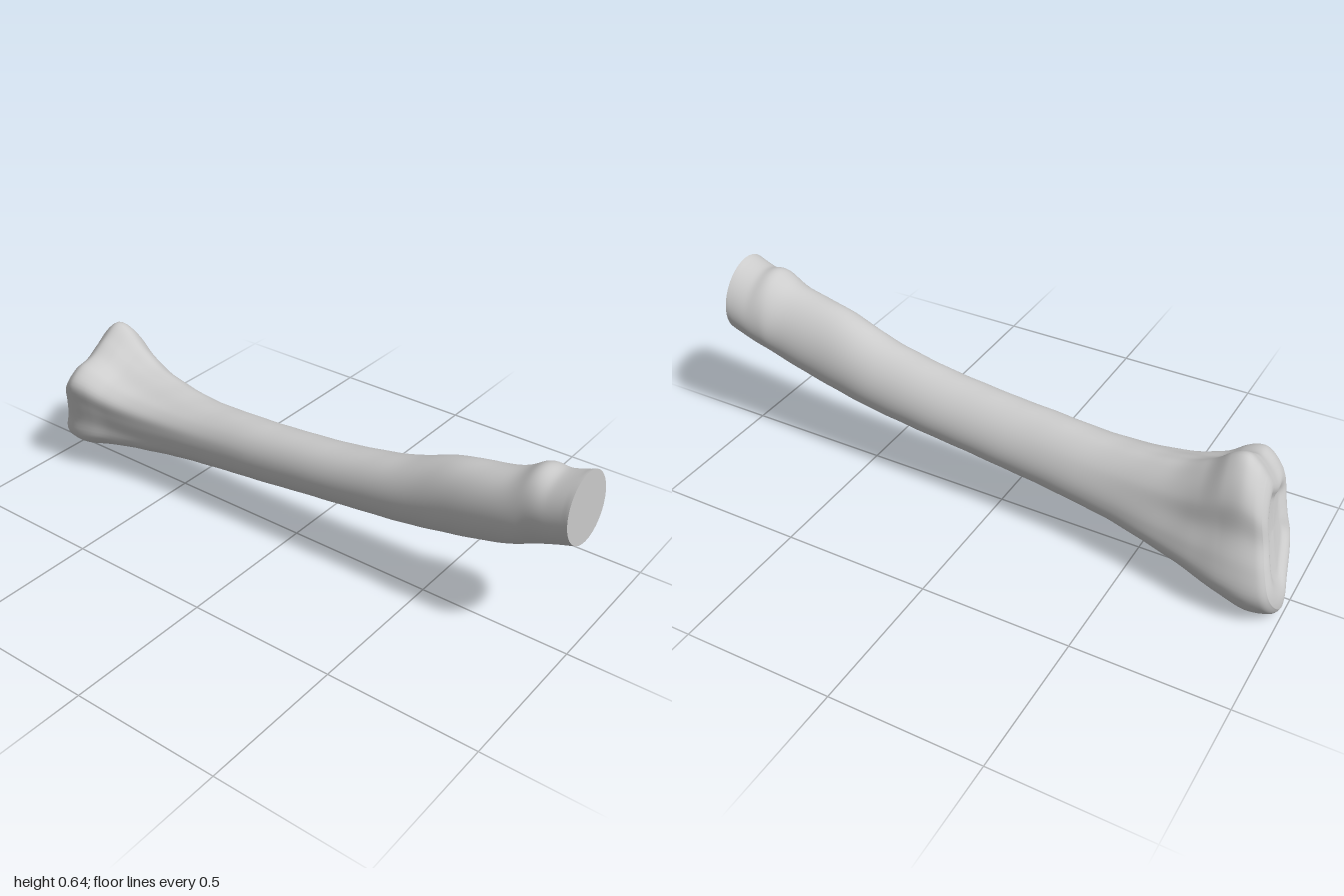
import * as THREE from 'three';

const SIDES = 96, STEPS = 10, FACE_RINGS = 16;

// Stations along the bone: z, left x, right x, bottom, top, head blend, shear
const STATIONS = [
  [1.00, -0.120, 0.110, 0.395, 0.640, 0, 0],
  [0.93, -0.117, 0.112, 0.370, 0.615, 0, 0],
  [0.87, -0.115, 0.107, 0.345, 0.618, 0, 0],
  [0.79, -0.114, 0.096, 0.312, 0.575, 0, 0],
  [0.60, -0.104, 0.095, 0.260, 0.533, 0, 0],
  [0.40, -0.100, 0.095, 0.225, 0.462, 0, 0],
  [0.15, -0.100, 0.095, 0.196, 0.415, 0, 0],
  [-0.15, -0.104, 0.097, 0.158, 0.388, 0.05, 0],
  [-0.40, -0.112, 0.112, 0.125, 0.378, 0.2, 0],
  [-0.60, -0.138, 0.143, 0.085, 0.403, 0.55, 0.03],
  [-0.72, -0.163, 0.170, 0.050, 0.445, 0.85, 0.08],
  [-0.80, -0.188, 0.186, 0.018, 0.500, 1, 0.12],
  [-0.86, -0.195, 0.191, 0.000, 0.517, 1, 0.16],
  [-0.91, -0.186, 0.184, 0.010, 0.490, 1, 0.23],
  [-0.935, -0.170, 0.170, 0.035, 0.452, 1, 0.25],
];

// Outline of the flared head, counter-clockwise
const HEAD = [
  [0.193, 0.12], [0.178, 0.21], [0.148, 0.3], [0.138, 0.4], [0.1, 0.475],
  [0.05, 0.515], [-0.02, 0.475], [-0.08, 0.435], [-0.15, 0.418], [-0.195, 0.37],
  [-0.182, 0.29], [-0.165, 0.21], [-0.158, 0.14], [-0.11, 0.09],
  [0, 0.035], [0.09, 0], [0.16, 0.05],
];

function catmull(a, b, c, d, t) {
  return b + 0.5 * t * (c - a + t * (2 * a - 5 * b + 4 * c - d + t * (3 * (b - c) + d - a)));
}

// Smoothly interpolated station at row index i + t
function station(i, t) {
  const row = k => STATIONS[THREE.MathUtils.clamp(k, 0, STATIONS.length - 1)];
  return row(i).map((v, k) => catmull(row(i - 1)[k], v, row(i + 1)[k], row(i + 2)[k], t));
}

// Head outline in a -1..1 box, each point paired with its angle on the unit circle
const headUnit = new THREE.CatmullRomCurve3(
  HEAD.map(([x, y]) => new THREE.Vector3(x / 0.194, y / 0.2575 - 1, 0)), true
).getSpacedPoints(SIDES).slice(0, SIDES).map(p => ({ x: p.x, y: p.y, a: Math.atan2(p.y, p.x) }));

function ring([z, l, r, b, top, w, shear]) {
  const cx = (l + r) / 2, cy = (b + top) / 2, rx = (r - l) / 2, ry = (top - b) / 2;
  const blend = THREE.MathUtils.clamp(w, 0, 1);
  return headUnit.map(h => {
    // leaning oval of the shaft, flattened at upper right and lower left
    const oval = 1 - 0.055 * Math.sin(2 * h.a);
    const ex = oval * Math.cos(h.a + 0.08), ey = oval * Math.sin(h.a);
    // faint uneven bone surface
    const bump = z < 0.99 ? 1 + 0.007 * Math.sin(z * 37 + 2 * h.a) * Math.sin(z * 13 + 3 * h.a) : 1;
    const x = THREE.MathUtils.lerp(ex, h.x, blend) * rx * bump;
    const y = THREE.MathUtils.lerp(ey, h.y, blend) * ry * bump;
    // the head slants back towards its lower left corner and bows in at mid height
    const slant = shear * (y - 0.5 * x + 0.06 * (1 - (y / ry) ** 2));
    return new THREE.Vector3(cx + x, cy + y, z + slant);
  });
}

// Skin a list of rings running towards -z
function loft(rings) {
  const pos = [], index = [];
  rings.forEach(rg => rg.forEach(p => pos.push(p.x, p.y, p.z)));
  for (let i = 0; i < rings.length - 1; i++) {
    for (let j = 0; j < SIDES; j++) {
      const k = (j + 1) % SIDES;
      const a = i * SIDES + j, b = i * SIDES + k;
      index.push(a, a + SIDES, b, b, a + SIDES, b + SIDES);
    }
  }
  const geo = new THREE.BufferGeometry();
  geo.setAttribute('position', new THREE.Float32BufferAttribute(pos, 3));
  geo.setIndex(index);
  geo.computeVertexNormals();
  return geo;
}

export function createModel() {
  const group = new THREE.Group();
  group.name = 'bone';
  const material = new THREE.MeshStandardMaterial({ color: 0xcccccc });

  // Shaft, flaring into the head
  const rings = [];
  for (let i = 0; i < STATIONS.length - 1; i++) {
    for (let s = 0; s < STEPS; s++) rings.push(ring(station(i, s / STEPS)));
  }
  const rim = ring(STATIONS[STATIONS.length - 1]);
  rings.push(rim);

  // Joint face closing the head: a rounded lip, then a shallow hollow
  const center = new THREE.Vector3(0, 0.2435, -0.932);
  for (let i = 1; i <= FACE_RINGS; i++) {
    const s = 1 - i / FACE_RINGS;
    const lip = 0.014 * Math.sin(Math.PI * Math.min(1, (1 - s) / 0.4));
    const dz = 0.016 * (1 - s * s) - lip;
    rings.push(rim.map(p => {
      const q = p.clone().lerp(center, 1 - s);
      q.z += dz;
      return q;
    }));
  }
  const body = new THREE.Mesh(loft(rings), material);
  body.name = 'shaftAndHead';
  group.add(body);

  // Flat cut at the front end
  const cutShape = new THREE.Shape(rings[0].map(p => new THREE.Vector2(p.x, p.y)));
  const cut = new THREE.Mesh(new THREE.ShapeGeometry(cutShape), material);
  cut.name = 'cutEnd';
  cut.position.z = 1;
  group.add(cut);

  return group;
}
